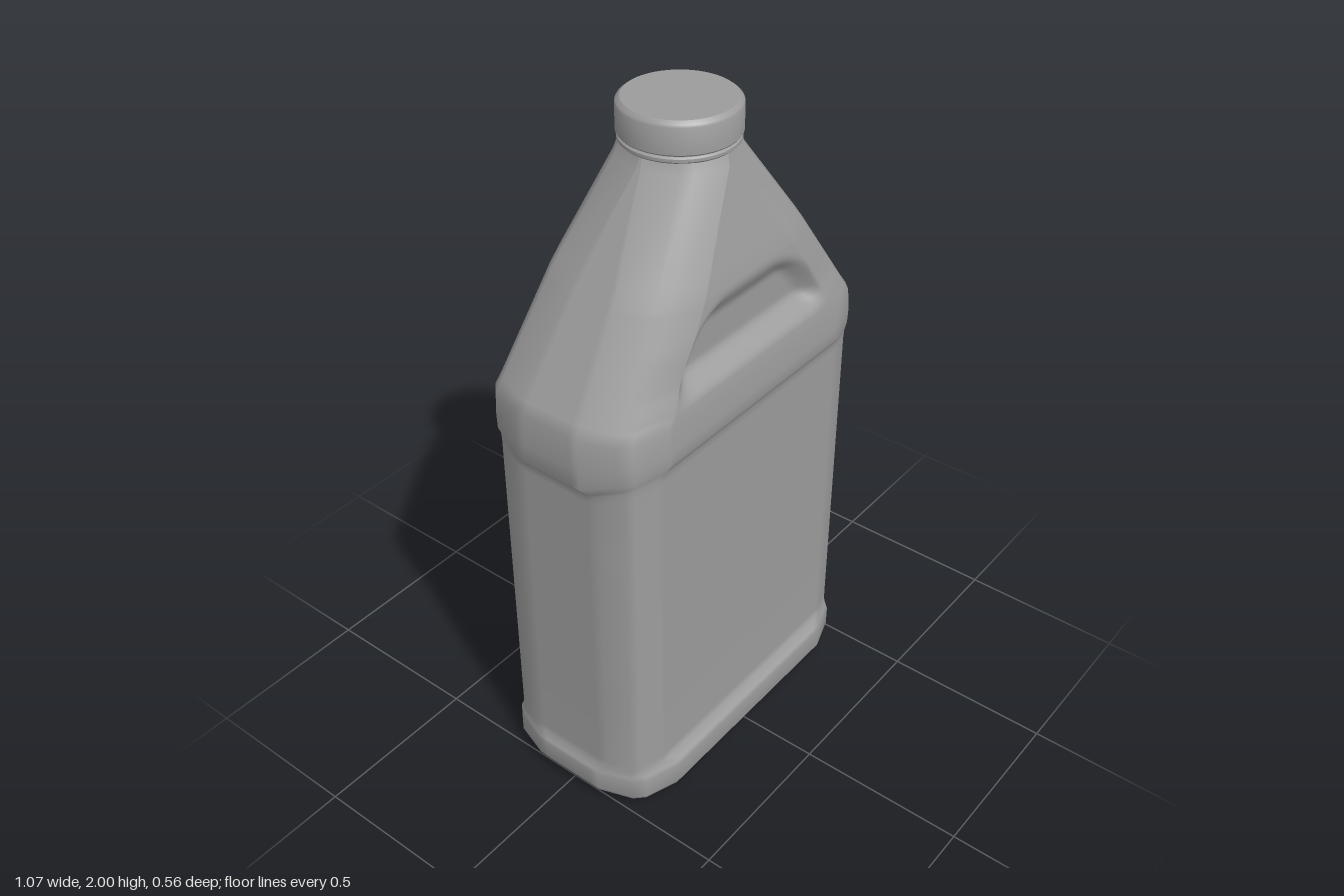
import * as THREE from 'three';
import { toCreasedNormals } from 'three/addons/utils/BufferGeometryUtils.js';

const material = new THREE.MeshStandardMaterial({ color: 0x9c9c9c });
const { lerp, clamp, smoothstep, degToRad } = THREE.MathUtils;
const CORNER_ANGLES = [0, 38, 52, 90], FRONT = 44, SIDE = 8;

// Closed rectangle outline with three-facet corners: half sizes a and b, corner radius r
function outline(a, b, r) {
  const pts = [];
  const corner = (q, k) => {
    // Odd corners run the other way, so the facets mirror
    const t = degToRad(q * 90 + CORNER_ANGLES[k]);
    const sx = q === 0 || q === 3 ? 1 : -1, sz = q < 2 ? 1 : -1;
    return [sx * (a - r) + r * Math.cos(t), sz * (b - r) + r * Math.sin(t)];
  };
  for (let q = 0; q < 4; q++) {
    for (let k = 0; k < 4; k++) pts.push(corner(q, k));
    const from = corner(q, 3), to = corner((q + 1) % 4, 0);
    const n = q % 2 === 0 ? FRONT : SIDE;
    for (let k = 1; k < n; k++) pts.push([lerp(from[0], to[0], k / n), lerp(from[1], to[1], k / n)]);
  }
  return pts;
}

// Grip recess: an arched trapezoid with soft edges pressed to a flat floor
function pressGrip(x, y, z) {
  const half = lerp(0.345, 0.15, Math.pow(clamp((y - 1.35) / 0.23, 0, 1), 1.8));
  const mask = smoothstep(half - Math.abs(x), 0, 0.1)
    * smoothstep(y, 1.345, 1.41) * (1 - smoothstep(y, 1.5, 1.58));
  return Math.sign(z) * lerp(Math.abs(z), Math.min(Math.abs(z), 0.2), mask);
}

// The lips of shoulder and base hang lower on the narrow sides
function lipDrop(y, z, b, r) {
  const side = clamp((b - Math.abs(z)) / Math.max(r, 0.14), 0, 1);
  const shoulder = 0.055 * smoothstep(y, 1, 1.16) * (1 - smoothstep(y, 1.215, 1.3));
  const base = 0.012 * smoothstep(y, 0.1, 0.12) * (1 - smoothstep(y, 0.16, 0.3));
  return side * (shoulder + base);
}

function bottleGeometry() {
  // Height, half width, half depth, corner radius
  const sections = [
    [0, 0, 0, 0],
    [0, 0.46, 0.22, 0.14],
    [0.004, 0.48, 0.238, 0.15],
    [0.02, 0.51, 0.263, 0.16],
    [0.05, 0.527, 0.28, 0.168],
    [0.115, 0.527, 0.28, 0.168],
    [0.128, 0.523, 0.274, 0.165],
    [0.145, 0.511, 0.253, 0.115],
    [0.17, 0.51, 0.25, 0.11],
    [1.16, 0.51, 0.25, 0.11],
    [1.185, 0.511, 0.251, 0.11],
    [1.195, 0.52, 0.258, 0.135],
    [1.215, 0.536, 0.266, 0.162],
    [1.25, 0.537, 0.267, 0.162],
    [1.31, 0.536, 0.262, 0.162],
    [1.34, 0.515, 0.257, 0.162],
    [1.59, 0.346, 0.226, 0.156],
    [1.63, 0.319, 0.218, 0.155],
    [1.86, 0.163, 0.161, 0.153],
    [1.91, 0.145, 0.147, 0.145],
  ];
  // Extra rows between sections, dense where the grip is pressed in
  const rows = [];
  sections.forEach((s, i) => {
    const next = sections[i + 1] ?? s;
    const step = s[0] > 1.32 && s[0] < 1.58 ? 0.0105 : 0.2;
    const count = Math.max(1, Math.round((next[0] - s[0]) / step));
    for (let k = 0; k < count; k++) rows.push(s.map((v, j) => lerp(v, next[j], k / count)));
  });

  const positions = [], index = [];
  rows.forEach(([y, a, b, r], j) => {
    const ring = outline(a, b, r);
    const n = ring.length;
    ring.forEach(([x, z], i) => {
      positions.push(x, y - lipDrop(y, z, b, r), pressGrip(x, y, z));
      if (j === rows.length - 1) return;
      const p = j * n + i, q = j * n + (i + 1) % n;
      if (j > 0) index.push(p, p + n, q);
      index.push(q, p + n, q + n);
    });
  });
  const geometry = new THREE.BufferGeometry();
  geometry.setAttribute('position', new THREE.Float32BufferAttribute(positions, 3));
  geometry.setIndex(index);
  geometry.computeVertexNormals();
  return geometry;
}

// Turned part with sharp edges kept
function turned(name, profile) {
  const lathe = new THREE.LatheGeometry(profile.map(([r, y]) => new THREE.Vector2(r, y)), 64);
  const mesh = new THREE.Mesh(toCreasedNormals(lathe, 0.5), material);
  mesh.name = name;
  return mesh;
}

export function createModel() {
  const group = new THREE.Group();
  group.name = 'jug';

  // Body with base rim, shoulder and grip recesses
  const bottle = new THREE.Mesh(bottleGeometry(), material);
  bottle.name = 'bottle';
  group.add(bottle);

  // Collar ring and screw cap
  group.add(turned('collar', [[0.13, 1.89], [0.152, 1.89], [0.157, 1.895], [0.157, 1.903], [0.152, 1.907], [0.13, 1.907]]));
  group.add(turned('cap', [[0, 1.911], [0.157, 1.911], [0.16, 1.915], [0.16, 1.986], [0.157, 1.992], [0.147, 2], [0, 2]]));
  return group;
}
